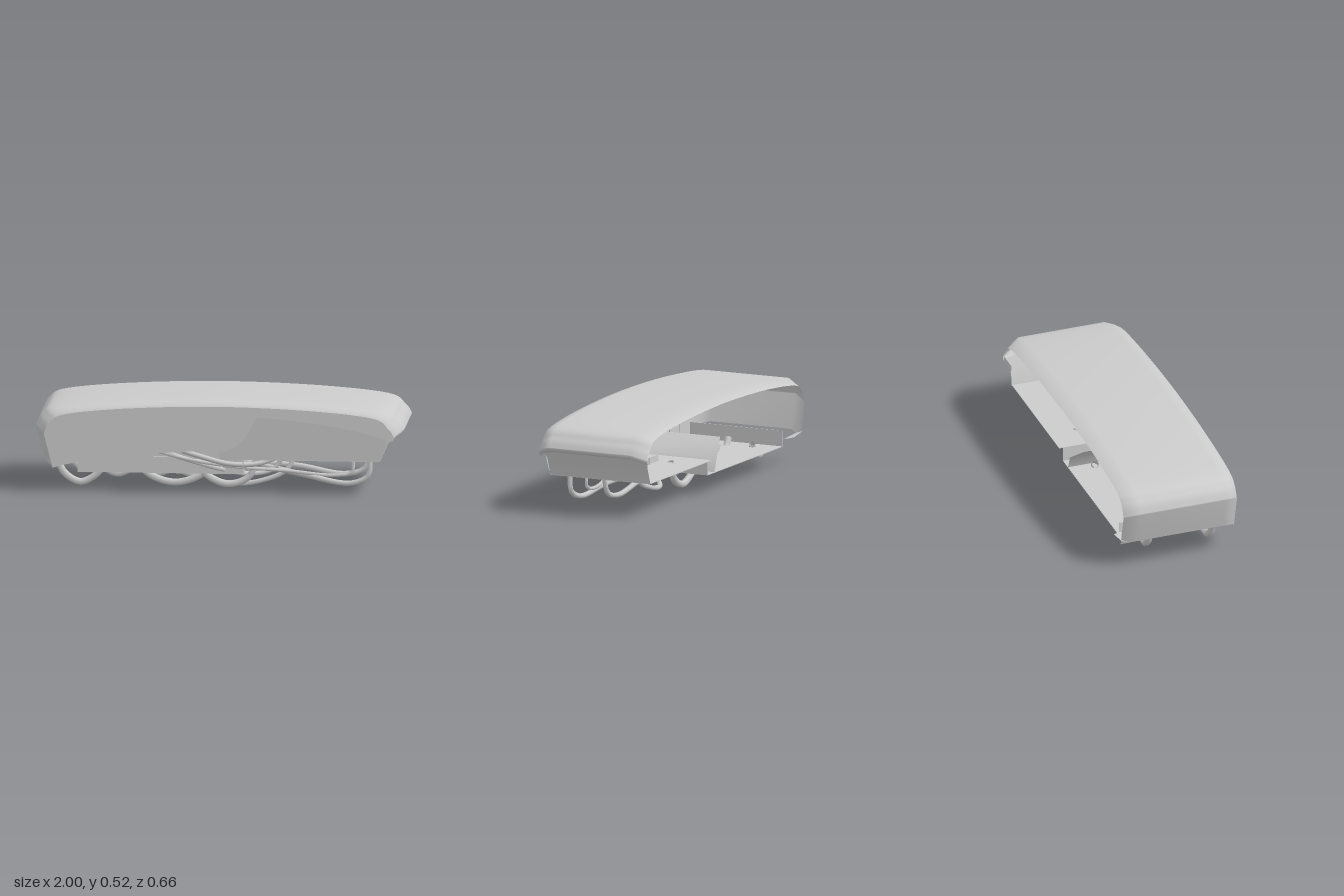
import * as THREE from 'three';

const material = new THREE.MeshStandardMaterial({ color: 0xcccccc, side: THREE.DoubleSide });

function add(parent, name, geometry) {
  const mesh = new THREE.Mesh(geometry, material);
  mesh.name = name;
  parent.add(mesh);
  return mesh;
}

// Skin stretched over rows of [x, y, z] points
function loft(rows) {
  const n = rows[0].length, index = [];
  for (let r = 0; r < rows.length - 1; r++)
    for (let i = 0; i < n - 1; i++) {
      const a = r * n + i, b = a + n;
      index.push(a, b, a + 1, b, b + 1, a + 1);
    }
  const g = new THREE.BufferGeometry();
  g.setAttribute('position', new THREE.Float32BufferAttribute(rows.flat(2), 3));
  g.setIndex(index);
  g.computeVertexNormals();
  return g;
}

const spline = (pts, count) => new THREE.SplineCurve(pts.map(p => new THREE.Vector2(...p))).getPoints(count);

function box(parent, name, x0, x1, y0, y1, z0, z1) {
  const mesh = add(parent, name, new THREE.BoxGeometry(x1 - x0, y1 - y0, z1 - z0));
  mesh.position.set((x0 + x1) / 2, (y0 + y1) / 2, (z0 + z1) / 2);
  return mesh;
}

export function createModel() {
  const model = new THREE.Group();
  model.name = 'pod';

  // Arched roof with both end walls, bevelled in plan, open at the back
  const arch = [[-0.95, 0.175], ...spline([
    [-1, 0.36], [-0.965, 0.425], [-0.87, 0.472], [-0.5, 0.508], [0, 0.523],
    [0.5, 0.508], [0.87, 0.472], [0.965, 0.415], [1, 0.365]], 56).map(p => [p.x, p.y]),
    [0.995, 0.35], [0.97, 0.34]];
  const stations = [[-0.325, 0.95, 0.03], [-0.245, 1, 0], [0.245, 1, 0],
    [0.29, 0.98, 0.012], [0.318, 0.958, 0.024], [0.327, 0.95, 0.036]];
  const rows = stations.map(([z, s, drop]) => arch.map(([x, y]) => [x * s, y - drop, z]));
  add(model, 'roof', loft(rows));

  // Front skirt with a stepped lower edge
  const front = rows[rows.length - 1].map(p => new THREE.Vector2(p[0], p[1]));
  const hem = spline([[0.88, 0.327], [0.7, 0.372], [0.45, 0.41], [0.25, 0.428], [0.2, 0.42],
    [0.165, 0.355], [0.11, 0.285], [0.05, 0.25], [0, 0.242], [-0.2, 0.237],
    [-0.45, 0.216], [-0.7, 0.183], [-0.85, 0.155]], 60);
  const skirt = new THREE.ShapeGeometry(new THREE.Shape([...front, ...hem]));
  skirt.translate(0, 0, 0.327);
  add(model, 'frontSkirt', skirt);

  // Inset lower panel, its concave end wall and the lip above it
  const bottomX = [0, 0.25, 0.6, 0.87];
  add(model, 'lowerPanel', loft([
    [[0, 0.3, 0.312], [0.22, 0.45, 0.318], [0.6, 0.42, 0.318], [0.92, 0.34, 0.312]],
    bottomX.map(x => [x, 0.195, 0.302])]));
  const endRow = z => [[0.925, 0.34, z * 1.03], [0.898, 0.28, z * 0.99], [0.88, 0.23, z * 0.99], [0.87, 0.195, z]];
  add(model, 'endWall', loft([endRow(0.305), endRow(-0.305)]));
  add(model, 'endLip', loft([
    [[0.922, 0.305, 0.325], [0.97, 0.34, 0.245], [0.97, 0.34, -0.245], [0.922, 0.31, -0.325]],
    [[0.91, 0.31, 0.31], [0.925, 0.34, 0.245], [0.925, 0.34, -0.245], [0.91, 0.31, -0.31]]]));

  // Raised floor, sunken tray and the rib between them
  box(model, 'raisedFloor', 0.13, 0.87, 0.192, 0.196, -0.302, 0.302);
  const tray = new THREE.Group();
  tray.name = 'tray';
  model.add(tray);
  box(tray, 'trayFloor', -0.77, 0.13, 0.11, 0.114, -0.28, 0.28);
  box(tray, 'trayStep', 0.126, 0.13, 0.11, 0.196, -0.28, 0.302);
  box(tray, 'trayEnd', -0.77, -0.766, 0.11, 0.2, -0.28, 0.28);
  box(tray, 'trayFront', -0.77, 0.13, 0.11, 0.25, 0.276, 0.28);
  add(model, 'rib', loft([
    [[0.05, 0.114, -0.28], [0.05, 0.114, 0.28]],
    [[0.02, 0.19, -0.28], [0.02, 0.19, 0.28]],
    [[-0.1, 0.28, -0.24], [-0.1, 0.28, 0.28]]]));

  // Thin tabs at the back corners
  add(model, 'lowerTab', loft([
    [[-0.93, 0.16, -0.28], [-0.78, 0.15, -0.28]],
    [[-0.92, 0.178, -0.33], [-0.81, 0.16, -0.33]]]));
  box(model, 'upperTab', 0.82, 0.93, 0.315, 0.35, -0.328, -0.322);

  // Small modules along the front of the tray
  const modules = [[-0.74, 0.11, 0.15, 0.22], [-0.61, 0.1, 0.13, 0.21], [-0.49, 0.11, 0.15, 0.23],
    [-0.36, 0.08, 0.13, 0.2], [-0.26, 0.1, 0.16, 0.23], [-0.14, 0.08, 0.13, 0.19]];
  modules.forEach(([x, w, y0, y1], i) =>
    box(model, 'module', x, x + w, y0, y1, 0.27, i % 2 ? 0.287 : 0.296));

  // Cables
  const cables = new THREE.Group();
  cables.name = 'cables';
  model.add(cables);
  const cable = (pts, radius) => add(cables, 'cable', new THREE.TubeGeometry(
    new THREE.CatmullRomCurve3(pts.map(p => new THREE.Vector3(...p))), 28, radius, 6));

  // Short hanging loops: start x, end x, z, lowest y
  const loops = [[-0.88, -0.64, 0.215, 0.045], [-0.86, -0.68, -0.14, 0.055], [-0.7, -0.45, 0.01, 0.055],
    [-0.5, -0.22, -0.025, 0.055], [-0.46, -0.06, 0.11, 0.03], [-0.3, 0, 0.05, 0.06],
    [0.3, 0, -0.14, 0.055], [-0.12, 0.2, 0.215, 0.045]];
  for (const [a, b, z, low] of loops) {
    const at = t => a + (b - a) * t;
    cable([[a, a > 0.13 ? 0.2 : 0.15, z], [at(0.15), low + 0.045, z], [at(0.5), low, z],
      [at(0.85), low + 0.04, z], [b, b > 0.13 ? 0.2 : 0.13, z]], 0.02);
  }

  // Long cables crossing from tray to raised floor
  cable([[0.81, 0.2, 0.21], [0.8, 0.1, 0.21], [0.7, 0.055, 0.2], [0.45, 0.09, 0.16], [0.2, 0.12, 0.06], [0, 0.11, -0.02]], 0.015);
  cable([[0.8, 0.2, 0.01], [0.76, 0.1, 0.01], [0.65, 0.07, 0], [0.4, 0.11, -0.01], [0.15, 0.12, -0.02], [-0.02, 0.11, -0.03]], 0.015);
  cable([[0.71, 0.2, 0.16], [0.71, 0.11, 0.16], [0.6, 0.09, 0.16], [0.35, 0.12, 0.2], [0.1, 0.15, 0.28], [-0.15, 0.19, 0.31], [-0.35, 0.24, 0.31]], 0.01);
  cable([[0.4, 0.2, 0.02], [0.34, 0.09, 0.03], [0.2, 0.03, 0.032], [0.08, 0.014, 0.035], [-0.04, 0.05, 0.12], [-0.1, 0.12, 0.2]], 0.014);
  cable([[0.34, 0.2, 0.16], [0.28, 0.12, 0.16], [0.15, 0.1, 0.2], [0, 0.14, 0.28], [-0.2, 0.2, 0.305], [-0.32, 0.24, 0.305]], 0.014);
  cable([[0.32, 0.2, 0.22], [0.2, 0.165, 0.26], [0.05, 0.17, 0.3], [-0.1, 0.21, 0.31], [-0.2, 0.24, 0.31]], 0.014);

  return model;
}
